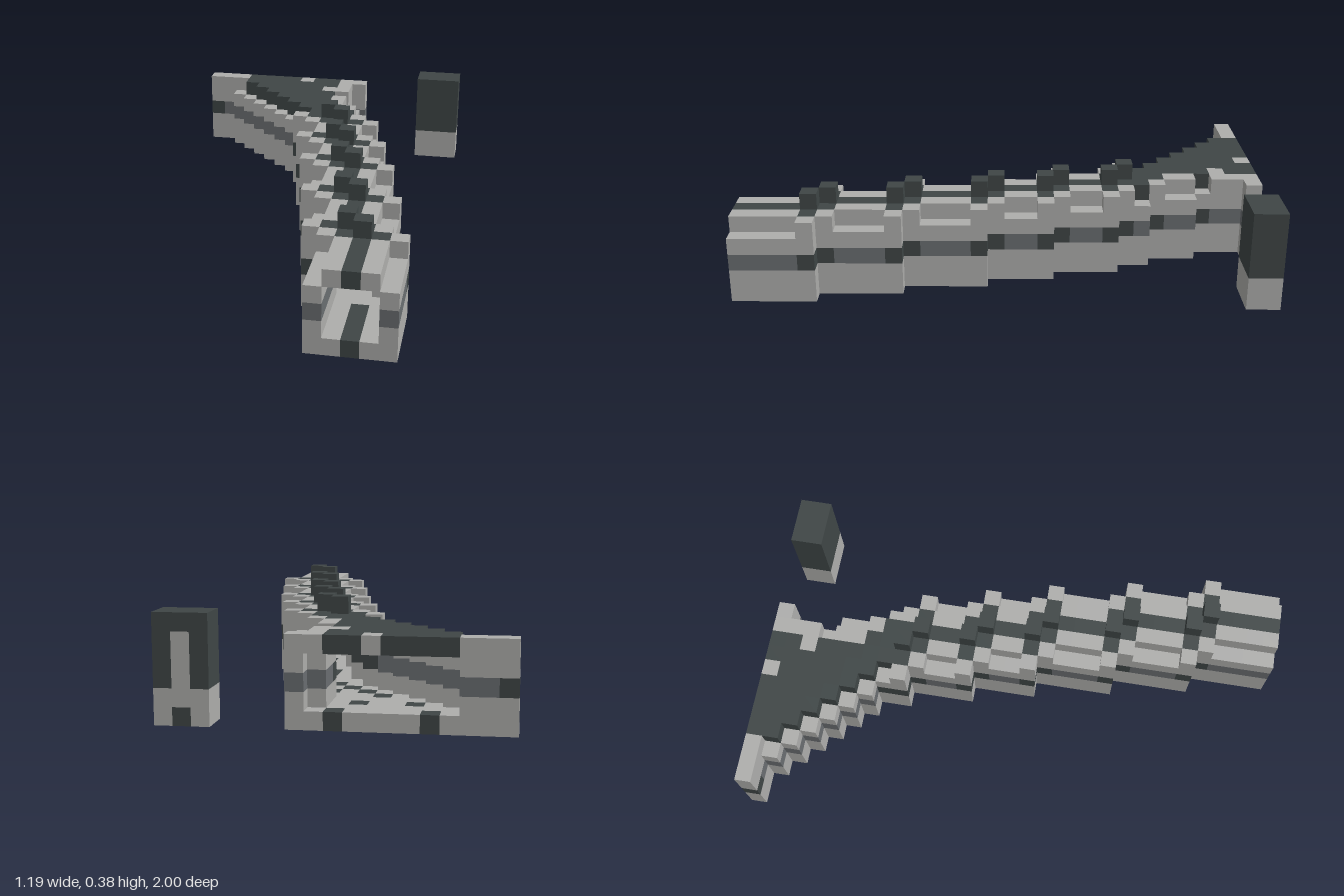
import * as THREE from 'three';

const CELL = 0.0625, HALF_X = 9.5, HALF_Z = 16;

// First and one-past-last column of every row, from back to front
const SPANS = [[0, 12], [2, 11], [3, 11], [4, 11], [5, 12], [6, 12], [7, 12], [8, 13], [8, 13]];
for (const [count, first] of [[4, 9], [4, 10], [5, 11], [5, 12], [5, 13]]) {
  for (let i = 0; i < count; i++) SPANS.push([first, first + 5]);
}
const JOINTS = new Set([8, 9, 12, 13, 16, 17, 21, 22, 26, 27]);

// Outward direction, then the face corners counter-clockwise
const FACES = [
  [[1, 0, 0], [[1, 0, 1], [1, 0, 0], [1, 1, 0], [1, 1, 1]]],
  [[-1, 0, 0], [[0, 0, 0], [0, 0, 1], [0, 1, 1], [0, 1, 0]]],
  [[0, 1, 0], [[0, 1, 1], [1, 1, 1], [1, 1, 0], [0, 1, 0]]],
  [[0, -1, 0], [[0, 0, 0], [1, 0, 0], [1, 0, 1], [0, 0, 1]]],
  [[0, 0, 1], [[0, 0, 1], [1, 0, 1], [1, 1, 1], [0, 1, 1]]],
  [[0, 0, -1], [[1, 0, 0], [0, 0, 0], [0, 1, 0], [1, 1, 0]]],
];

export function createModel() {
  const materials = {
    stone: new THREE.MeshStandardMaterial({ color: 0xaeaeac }),
    dark: new THREE.MeshStandardMaterial({ color: 0x3f4646 }),
    band: new THREE.MeshStandardMaterial({ color: 0x6a6e71 }),
  };
  for (const name in materials) materials[name].name = name;

  const cells = new Map();
  const put = (x, y, z, part, color) => cells.set(`${x},${y},${z}`, { x, y, z, part, color });

  // A wall column with its band; the band turns dark at accents
  const wall = (x, z, height, part, accent) => {
    for (let y = 0; y < height; y++) {
      put(x, y, z, part, y === 2 ? (accent ? 'dark' : 'band') : 'stone');
    }
  };

  SPANS.forEach(([first, end], z) => {
    const last = end - 1, joint = JOINTS.has(z), flare = z < 8;
    const middle = first + 2;

    // Floor and roof between the walls
    for (let x = first + 1; x < last; x++) {
      const line = !flare && x === middle;
      put(x, 0, z, 'floor', line && !joint ? 'dark' : 'stone');
      let roofDark = flare || joint || line;
      if ((z === 4 || z === 5) && x === last - 1) roofDark = false;
      if (z === 0 && (x < 3 || x === 7 || x > 9)) roofDark = false;
      if (z === 2 && x === 9) roofDark = false;
      put(x, 4, z, 'roof', roofDark ? 'dark' : 'stone');
    }

    // Side walls, raised at the joints
    const tall = joint || z === 0;
    wall(first, z, tall ? 5 : 4, 'rightWall', joint || z === 0 || z === 7);
    wall(last, z, tall || z === 1 || z === 2 || z === 6 ? 5 : 4, 'leftWall', joint || z === 3 || z === 6);

    // Studs over the joints
    if (joint) put(middle, 5, z, 'roofStuds', 'dark');
  });

  // Solid piers beside the wide rear opening
  for (const x of [1, 2]) wall(x, 0, 5, 'rearPier', false);

  // Branching inlay in the flared floor
  for (const [x, z] of [[4, 0], [5, 2], [7, 4], [8, 5], [9, 6], [9, 0], [8, 2], [10, 7], [10, 5]]) {
    put(x, 0, z, 'floor', 'dark');
  }

  // Separate pillar with an inset panel on its back
  for (let x = 16; x < 19; x++) for (let y = 0; y < 6; y++) for (let z = 0; z < 2; z++) {
    let color = y < 2 ? 'stone' : 'dark';
    if (x === 17 && z === 0 && y < 5) color = y === 0 ? 'dark' : 'stone';
    put(x, y, z, 'pillar', color);
  }

  // Collect the exposed faces of each part and colour
  const surfaces = new Map();
  for (const { x, y, z, part, color } of cells.values()) {
    const key = `${part}|${color}`;
    if (!surfaces.has(key)) surfaces.set(key, { positions: [], normals: [], indices: [] });
    const s = surfaces.get(key);
    for (const [n, corners] of FACES) {
      if (cells.has(`${x + n[0]},${y + n[1]},${z + n[2]}`)) continue;
      const base = s.positions.length / 3;
      for (const c of corners) {
        s.positions.push((x + c[0] - HALF_X) * CELL, (y + c[1]) * CELL, (z + c[2] - HALF_Z) * CELL);
        s.normals.push(...n);
      }
      s.indices.push(base, base + 1, base + 2, base, base + 2, base + 3);
    }
  }

  const model = new THREE.Group();
  model.name = 'steppedTunnel';
  const groups = {};
  for (const [key, s] of surfaces) {
    const [part, color] = key.split('|');
    if (!s.indices.length) continue;
    if (!groups[part]) {
      groups[part] = new THREE.Group();
      groups[part].name = part;
      model.add(groups[part]);
    }
    const geometry = new THREE.BufferGeometry();
    geometry.setAttribute('position', new THREE.Float32BufferAttribute(s.positions, 3));
    geometry.setAttribute('normal', new THREE.Float32BufferAttribute(s.normals, 3));
    geometry.setIndex(s.indices);
    const mesh = new THREE.Mesh(geometry, materials[color]);
    mesh.name = `${part} ${color}`;
    groups[part].add(mesh);
  }
  return model;
}
